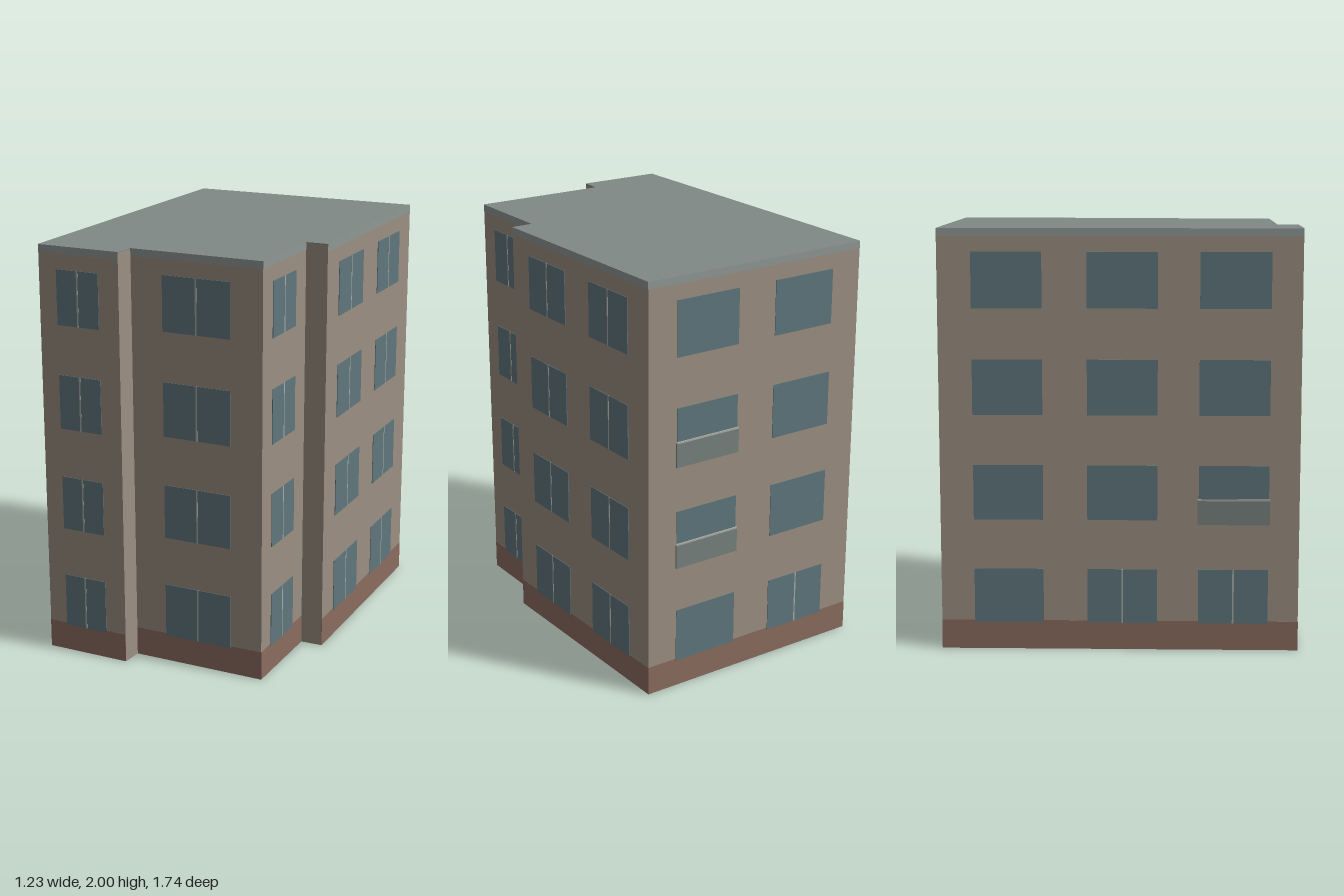
import * as THREE from 'three';

const paint = (color) => new THREE.MeshStandardMaterial({ color });
const MAT = {
  wall: paint(0x9c8f82), plinth: paint(0x8a6c5f), glass: paint(0x5f767c),
  bar: paint(0xa9aca6), roof: paint(0x7f8986), fascia: paint(0x8f9894), panel: paint(0x78827e),
};

const HEIGHT = 2, FLOORS = 4, STOREY = 0.5, SILL = 0.13, WINDOW_H = 0.262;

// Footprint corners (x, z), counter-clockwise seen from above
const [H, G, F, E, D, C, B, A] = [
  [-0.563, 0.863], [-0.145, 0.855], [-0.14, 0.752], [0.52, 0.735],
  [0.508, 0.265], [0.615, 0.26], [0.57, -0.867], [-0.615, -0.83],
];
const FOOTPRINT = [H, G, F, E, D, C, B, A];

// Facades: window columns as fractions along the wall; bars and balconies as [column, floor]
const allBars = (columns) =>
  Array.from({ length: columns * FLOORS }, (_, i) => [i % columns, Math.floor(i / columns)]);
const FACADES = [
  { name: 'frontBay', from: H, to: G, columns: [[0.222, 0.749]], bars: allBars(1) },
  { name: 'frontMain', from: F, to: E, columns: [[0.242, 0.758]], bars: allBars(1) },
  { name: 'leftRecess', from: E, to: D, columns: [[0.223, 0.755]], bars: allBars(1) },
  { name: 'leftMain', from: C, to: B, columns: [[0.129, 0.408], [0.586, 0.861]], bars: allBars(2) },
  { name: 'back', from: B, to: A, columns: [[0.13, 0.413], [0.587, 0.866]],
    bars: [[1, 0]], balconies: [[0, 1], [0, 2]] },
  { name: 'rightSide', from: A, to: H, columns: [[0.093, 0.287], [0.41, 0.605], [0.72, 0.915]],
    bars: [[1, 0], [2, 0]], balconies: [[2, 1]] },
];

// Slab of the footprint between two heights
function slab(name, y0, y1, material) {
  const shape = new THREE.Shape(FOOTPRINT.map(([x, z]) => new THREE.Vector2(x, -z)));
  const geometry = new THREE.ExtrudeGeometry(shape, { depth: y1 - y0, bevelEnabled: false });
  geometry.rotateX(-Math.PI / 2).translate(0, y0, 0);
  const mesh = new THREE.Mesh(geometry, material);
  mesh.name = name;
  return mesh;
}

// Thin panel on a facade, standing out from the wall by `out`
function panel(parent, name, x0, x1, y0, y1, out, material) {
  const mesh = new THREE.Mesh(new THREE.BoxGeometry(x1 - x0, y1 - y0, out), material);
  mesh.position.set((x0 + x1) / 2, (y0 + y1) / 2, out / 2);
  mesh.name = name;
  parent.add(mesh);
}

function buildFacade({ name, from, to, columns, bars = [], balconies = [] }) {
  const facade = new THREE.Group();
  facade.name = name + 'Facade';
  const dx = to[0] - from[0], dz = to[1] - from[1], length = Math.hypot(dx, dz);
  facade.position.set(from[0], 0, from[1]);
  facade.rotation.y = Math.atan2(-dz, dx);

  panel(facade, 'plinth', 0, length, 0, 0.14, 0.001, MAT.plinth);
  panel(facade, 'roofFascia', 0, length, 1.965, HEIGHT, 0.001, MAT.fascia);

  const has = (list, c, f) => list.some(([col, floor]) => col === c && floor === f);
  columns.forEach(([a, b], c) => {
    const x0 = a * length, x1 = b * length, mid = (x0 + x1) / 2;
    for (let f = 0; f < FLOORS; f++) {
      const y = SILL + f * STOREY;
      panel(facade, 'window', x0, x1, y, y + WINDOW_H, 0.003, MAT.glass);
      if (has(bars, c, f)) {
        panel(facade, 'windowBar', mid - 0.004, mid + 0.004, y, y + WINDOW_H, 0.004, MAT.bar);
      }
      if (has(balconies, c, f)) {
        panel(facade, 'balconyPanel', x0 - 0.005, x1 + 0.005, y - 0.02, y + 0.095, 0.009, MAT.panel);
        panel(facade, 'balconyRail', x0 - 0.005, x1 + 0.005, y + 0.095, y + 0.103, 0.01, MAT.bar);
      }
    }
  });
  return facade;
}

export function createModel() {
  const model = new THREE.Group();
  model.name = 'apartmentBlock';
  model.add(slab('walls', 0, HEIGHT - 0.004, MAT.wall));
  model.add(slab('roof', HEIGHT - 0.004, HEIGHT, MAT.roof));
  FACADES.forEach((spec) => model.add(buildFacade(spec)));
  return model;
}
